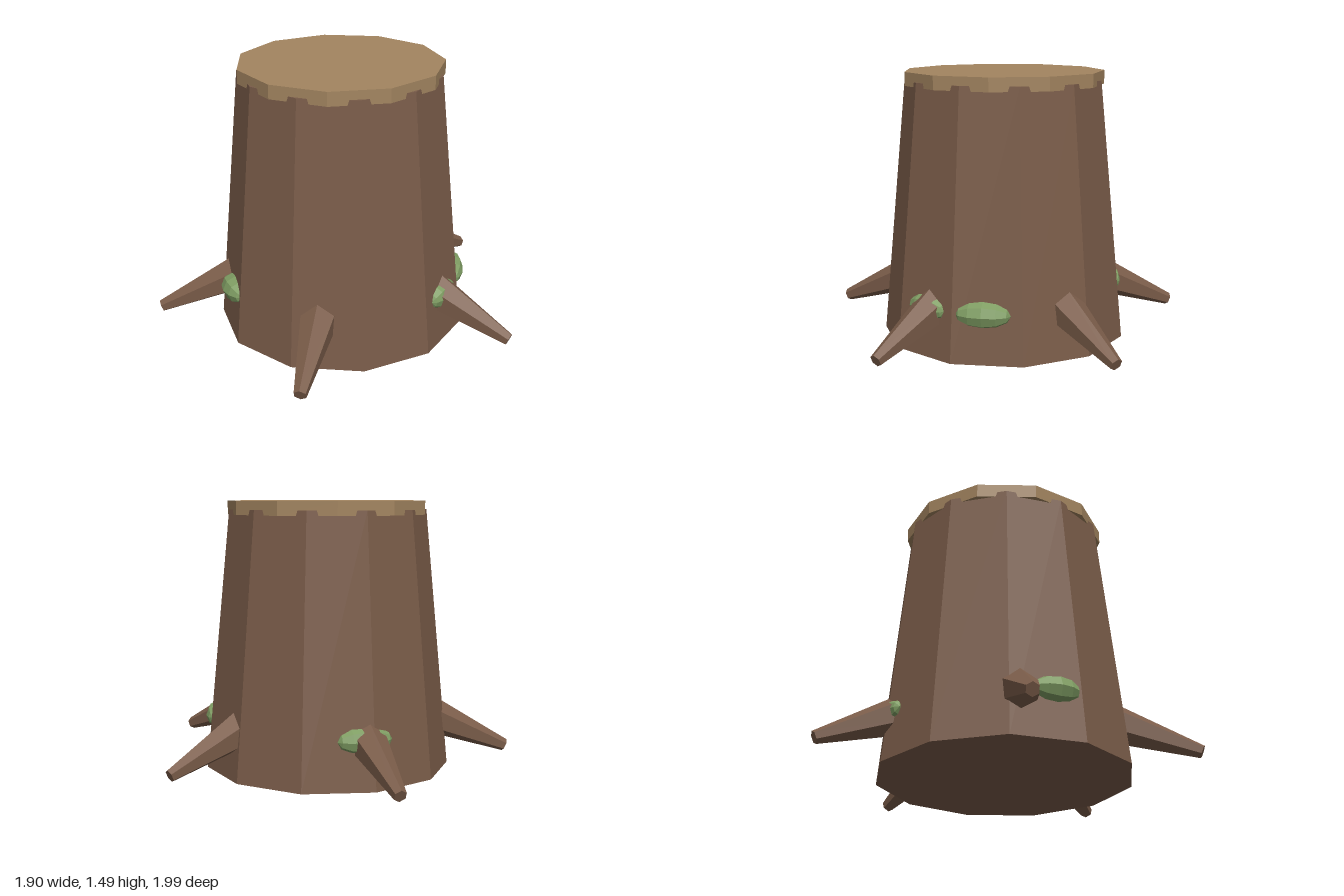
import * as THREE from 'three';

const mat = (name, color) => {
  const m = new THREE.MeshStandardMaterial({ color, flatShading: true });
  m.name = name;
  return m;
};

export function createModel() {
  const bark = mat('bark brown', 0x7a5c49);
  const wood = mat('cut wood tan', 0xa38560);
  const moss = mat('moss green', 0x7f9d63);

  const model = new THREE.Group();
  model.name = 'treeStump';
  // The trunk axis sits slightly off centre because of the five roots
  const stump = new THREE.Group();
  stump.name = 'stump';
  stump.position.x = -0.095;
  model.add(stump);

  const add = (name, geometry, material, parent = stump) => {
    const mesh = new THREE.Mesh(geometry, material);
    mesh.name = name;
    parent.add(mesh);
    return mesh;
  };

  // Tapered eleven-sided trunk
  add('trunk', new THREE.CylinderGeometry(0.552, 0.69, 1.44, 11), bark).position.y = 0.72;

  // Cut top, turned half a side so the trunk corners poke through its rim
  const cap = add('cutTop', new THREE.CylinderGeometry(0.56, 0.56, 0.075, 11), wood);
  cap.position.y = 1.45;
  cap.rotation.y = Math.PI;

  // Places a named arm at an angle (degrees) around the trunk, +x pointing outwards
  const around = (name, degrees) => {
    const arm = new THREE.Group();
    arm.name = name;
    arm.rotation.y = -THREE.MathUtils.degToRad(degrees);
    stump.add(arm);
    return arm;
  };

  // Five hexagonal roots sloping down and out, with a ridge on top
  const inner = new THREE.Vector2(0.5, 0.305);
  const tip = new THREE.Vector2(1.03, 0.082);
  const rootGeometry = new THREE.CylinderGeometry(0.035, 0.12, inner.distanceTo(tip), 6, 1, false, Math.PI / 6);
  const slope = Math.atan2(tip.y - inner.y, tip.x - inner.x);
  for (let i = 0; i < 5; i++) {
    const root = add('root', rootGeometry, bark, around('rootArm', i * 72));
    root.position.set((inner.x + tip.x) / 2, (inner.y + tip.y) / 2, 0);
    root.rotation.z = slope - Math.PI / 2;
  }

  // Flattened moss clumps: angle, half width, outward half depth
  const mossGeometry = new THREE.SphereGeometry(1, 8, 6);
  const clumps = [[43, 0.148, 0.065], [73, 0.125, 0.055], [199.5, 0.125, 0.075], [-70, 0.15, 0.055]];
  for (const [angle, width, depth] of clumps) {
    const clump = add('mossClump', mossGeometry, moss, around('mossArm', angle));
    clump.position.set(0.633, 0.265, 0);
    clump.rotation.x = Math.PI / 2;
    clump.scale.set(depth, width, 0.072);
  }
  // Lay each clump's poles along the trunk surface
  return model;
}
